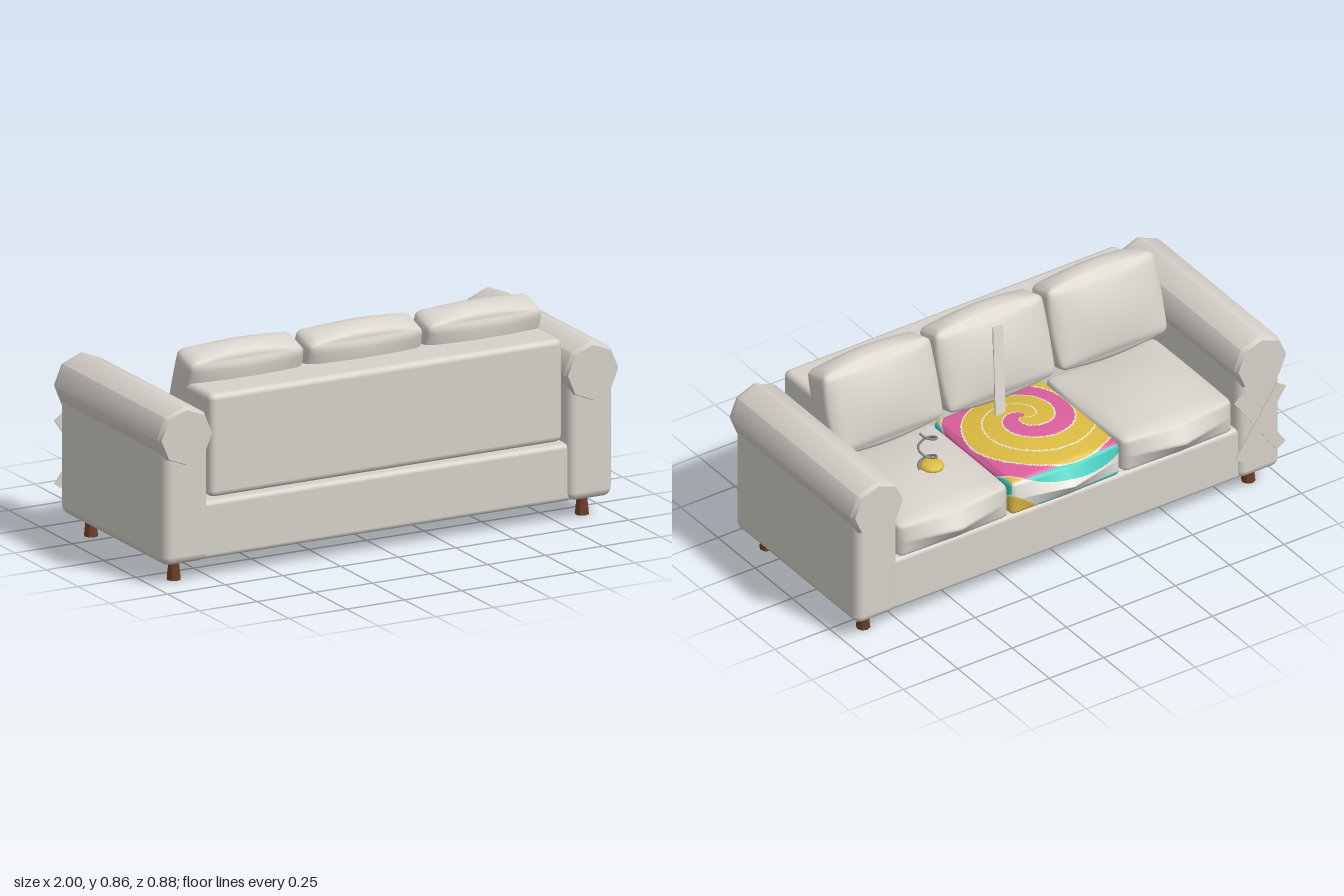
import * as THREE from 'three';
import { mergeVertices, toCreasedNormals } from 'three/addons/utils/BufferGeometryUtils.js';
import { RoundedBoxGeometry } from 'three/addons/geometries/RoundedBoxGeometry.js';

const material = (name, color) => {
  const m = new THREE.MeshStandardMaterial({ color });
  m.name = name;
  return m;
};

// Padded cushion: a rounded box whose faces swell towards their middles.
// "nose" pulls the -z face out to a point.
function cushionGeometry(half, radius, bulge, nose, n) {
  let g = new THREE.BoxGeometry(2, 2, 2, n, n, n);
  g.deleteAttribute('uv');
  g.deleteAttribute('normal');
  g = mergeVertices(g, 1e-4);
  const pos = g.attributes.position;
  const inner = half.clone().subScalar(radius);
  const f = (t) => 1 - t * t;
  const tent = (t) => 1 - Math.abs(t);
  const p = new THREE.Vector3(), core = new THREE.Vector3();
  for (let i = 0; i < pos.count; i++) {
    const u = pos.getX(i), v = pos.getY(i), w = pos.getZ(i);
    p.set(u, v, w).multiply(half);
    core.copy(p).clamp(inner.clone().negate(), inner);
    p.sub(core);
    if (p.length() > 1e-6) p.setLength(radius);
    p.add(core);
    p.x += u * bulge.x * f(v) * f(w);
    p.y += v * bulge.y * f(u) * f(w);
    p.z += w * bulge.z * f(u) * f(v);
    if (w < 0) p.z += w * nose * tent(u) * tent(v);
    pos.setXYZ(i, p.x, p.y, p.z);
  }
  g.computeVertexNormals();
  return g;
}

// Sort the triangles into spiral bands: three colours with thin pale gaps
function swirlGroups(g) {
  const pos = g.attributes.position, idx = g.index.array;
  const bands = [[], [], [], []];
  for (let i = 0; i < idx.length; i += 3) {
    let x = 0, y = 0, z = 0;
    for (let k = 0; k < 3; k++) {
      x += pos.getX(idx[i + k]) / 3;
      y += pos.getY(idx[i + k]) / 3;
      z += pos.getZ(idx[i + k]) / 3;
    }
    const dx = x + 0.02, dz = z - 0.05;
    const drop = Math.max(0, 0.07 - y);
    const r = Math.hypot(dx, dz) + drop * 0.8;
    const turn = Math.atan2(dx, -dz) / (2 * Math.PI);
    const t = (((r - 0.08) / 0.24 + turn + 10) % 1) * 3;
    const band = t % 1 > 0.92 ? 3 : Math.floor(t);
    bands[band].push(idx[i], idx[i + 1], idx[i + 2]);
  }
  g.setIndex(bands.flat());
  let start = 0;
  bands.forEach((b, i) => {
    g.addGroup(start, b.length, i);
    start += b.length;
  });
  return g;
}

export function createModel() {
  const fabric = material('grey fabric', 0xd6d1ca);
  const wood = material('brown wood', 0x6b3d25);
  const pink = material('pink', 0xdb5f9d);
  const teal = material('teal', 0x48d0c0);
  const yellow = material('yellow', 0xdcbb42);
  const pale = material('pale gap', 0xe8e4de);
  const steel = material('spring steel', 0x85878a);

  const sofa = new THREE.Group();
  sofa.name = 'sofa';
  const add = (name, geometry, mat, x, y, z) => {
    const m = new THREE.Mesh(geometry, mat);
    m.name = name;
    m.position.set(x, y, z);
    sofa.add(m);
    return m;
  };
  const block = (name, x0, x1, y0, y1, z0, z1, r) =>
    add(name, new RoundedBoxGeometry(x1 - x0, y1 - y0, z1 - z0, 2, r), fabric,
      (x0 + x1) / 2, (y0 + y1) / 2, (z0 + z1) / 2);

  // Frame
  block('base', -0.81, 0.81, 0.08, 0.31, -0.385, 0.41, 0.02);
  block('backPanel', -0.765, 0.765, 0.32, 0.73, 0.18, 0.41, 0.025);

  // Arms with octagonal rolls, and feet
  const R = 0.119, H = 0.4225;
  const rollProfile = [[0, -H], [R - 0.01, -H], [R, -H + 0.02], [R, H - 0.02], [R - 0.01, H], [0, H]]
    .map(([a, b]) => new THREE.Vector2(a, b));
  const rollGeometry = toCreasedNormals(new THREE.LatheGeometry(rollProfile, 8), 0.82);
  const footGeometry = toCreasedNormals(new THREE.CylinderGeometry(0.019, 0.028, 0.09, 8), 0.5);
  for (const s of [-1, 1]) {
    const side = s > 0 ? 'left' : 'right';
    block(side + 'Arm', s * 0.8775 - 0.0975, s * 0.8775 + 0.0975, 0.08, 0.6, -0.4, 0.43, 0.035);
    add(side + 'ArmRoll', rollGeometry, fabric, s * 0.881, 0.587, 0.0125).rotation.x = Math.PI / 2;
    for (const z of [0.34, -0.31]) add(side + 'Foot', footGeometry, wood, s * 0.885, 0.045, z);
  }

  // Seat and back cushions
  const seatHalf = new THREE.Vector3(0.25, 0.075, 0.265);
  const seatBulge = new THREE.Vector3(0.014, 0.035, 0);
  const backGeometry = cushionGeometry(new THREE.Vector3(0.246, 0.165, 0.07), 0.025,
    new THREE.Vector3(0.012, 0.032, 0.027), 0, 20);
  const seatGeometry = cushionGeometry(seatHalf, 0.02, seatBulge, 0.06, 20);
  const swirlGeometry = swirlGroups(cushionGeometry(seatHalf, 0.02, seatBulge, 0.06, 72));
  for (const i of [-1, 0, 1]) {
    add('seatCushion', i ? seatGeometry : swirlGeometry,
      i ? fabric : [pink, teal, yellow, pale], i * 0.515, 0.375, -0.115);
    add('backCushion', backGeometry, fabric, i * 0.515, 0.67, 0.15).rotation.x = 0.3;
  }

  // Repair strips: one on the middle back cushion, a cross on the right arm
  const strip = add('cushionStrip', new THREE.BoxGeometry(0.045, 0.365, 0.006), fabric, 0.02, 0.642, 0.043);
  strip.rotation.set(0.235, 0, 0.125);
  for (const [angle, z] of [[-0.6, -0.403], [0.6, -0.407]]) {
    add('armPatchStrip', new THREE.BoxGeometry(0.05, 0.34, 0.006), fabric, -0.875, 0.32, z).rotation.z = angle;
  }

  // Popped spring with a tuft of stuffing
  const coil = [];
  for (let i = 0; i <= 24; i++) {
    const a = (i / 24) * Math.PI * 4;
    coil.push(new THREE.Vector3(0.035 * Math.cos(a), (i / 24) * 0.17, 0.035 * Math.sin(a)));
  }
  add('spring', new THREE.TubeGeometry(new THREE.CatmullRomCurve3(coil), 48, 0.005, 5), steel, 0.48, 0.485, -0.15);
  add('stuffing', new THREE.SphereGeometry(0.048, 12, 8), yellow, 0.46, 0.487, -0.15).scale.y = 0.45;

  return sofa;
}
